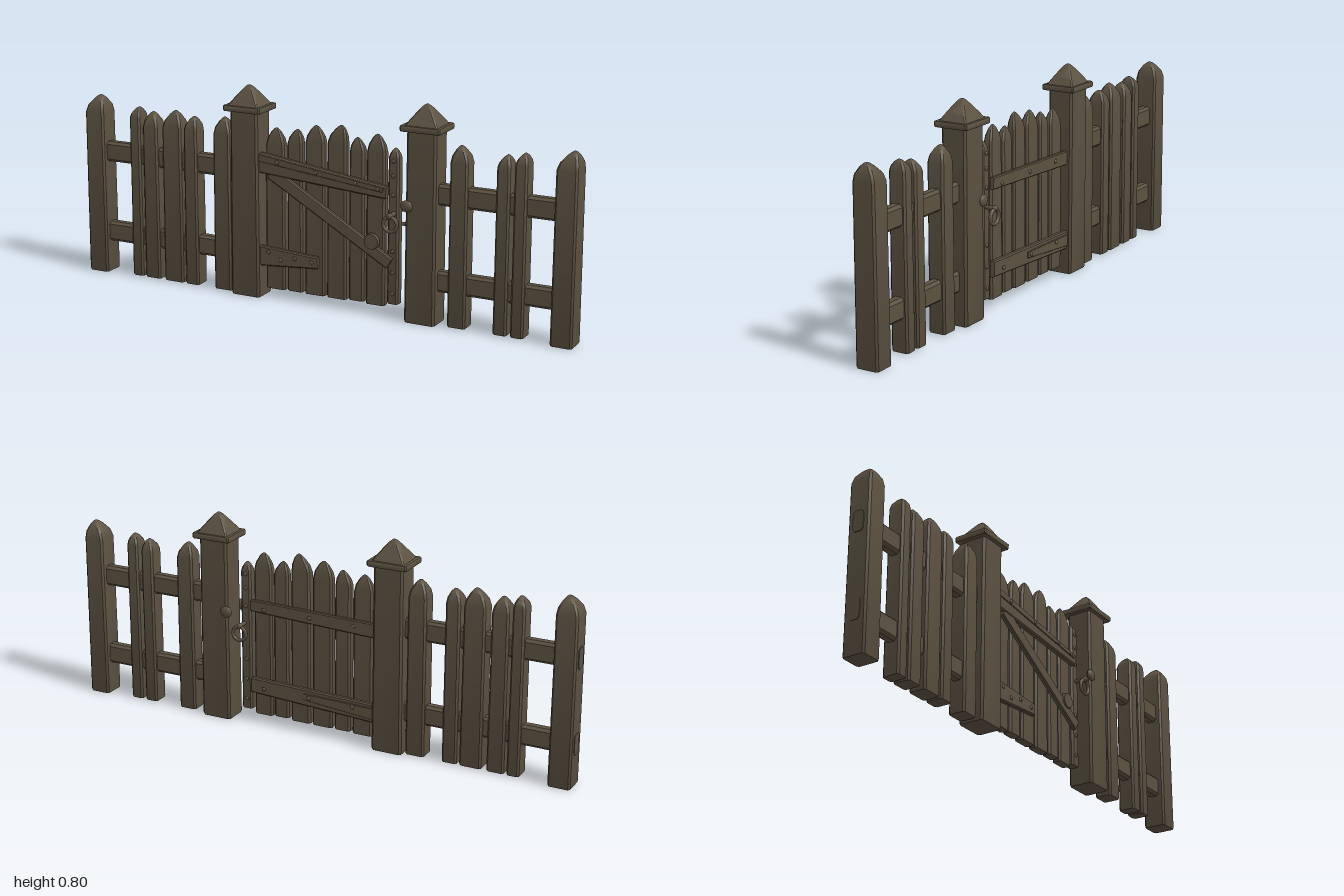
import * as THREE from 'three';
import { toCreasedNormals } from 'three/addons/utils/BufferGeometryUtils.js';

const wood = new THREE.MeshStandardMaterial({ color: 0x5b5141 });
wood.name = 'weathered brown';

// Loft chamfered rectangles along y; each ring is [y, halfWidth, halfDepth, shiftX]
function loft(rings, chamfer = 0.01) {
  const pos = [], idx = [];
  for (const [y, w, d, sx = 0] of rings) {
    const c = Math.min(chamfer, w * 0.45, d * 0.45);
    const pts = [[w, d - c], [w - c, d], [c - w, d], [-w, d - c], [-w, c - d], [c - w, -d], [w - c, -d], [w, c - d]];
    for (const [x, z] of pts) pos.push(x + sx, y, z);
  }
  const top = (rings.length - 1) * 8;
  for (let r = 0; r < top; r += 8) {
    for (let i = 0; i < 8; i++) {
      const a = r + i, b = r + (i + 1) % 8;
      idx.push(a, a + 8, b, b, a + 8, b + 8);
    }
  }
  for (let i = 1; i < 7; i++) idx.push(0, i, i + 1, top, top + i + 1, top + i);
  const g = new THREE.BufferGeometry();
  g.setAttribute('position', new THREE.Float32BufferAttribute(pos, 3));
  g.setIndex(idx);
  return toCreasedNormals(g, 0.6);
}

function add(parent, name, geometry, x = 0, y = 0, z = 0) {
  const m = new THREE.Mesh(geometry, wood);
  m.name = name;
  m.position.set(x, y, z);
  parent.add(m);
  return m;
}

// Upright board with a rounded point
function picket(parent, name, x0, x1, y0, h, depth, lean = 0) {
  const w = (x1 - x0) / 2, tip = Math.min(0.065, w * 1.7);
  add(parent, name, loft([
    [y0, w * 0.96, depth * 0.95], [y0 + 0.006, w, depth],
    [h - tip, w * 0.96, depth * 0.97],
    [h - tip * 0.6, w * 0.82, depth * 0.85, lean * 0.3],
    [h - tip * 0.22, w * 0.46, depth * 0.5, lean * 0.8],
    [h - tip * 0.05, w * 0.2, depth * 0.22, lean],
    [h, w * 0.06, depth * 0.06, lean],
  ], 0.007), (x0 + x1) / 2);
}

// Beam between two points in the x-y plane, with a width at each end
function beam(parent, name, x1, y1, x2, y2, w1, w2, z, depth, chamfer = 0.006) {
  const len = Math.hypot(x2 - x1, y2 - y1);
  const m = add(parent, name, loft([[0, w1 / 2, depth], [len, w2 / 2, depth]], chamfer), x1, y1, z);
  m.rotation.z = Math.atan2(y2 - y1, x2 - x1) - Math.PI / 2;
}

function rivet(parent, x, y, z, r = 0.008) {
  add(parent, 'rivet', new THREE.SphereGeometry(r, 10, 8), x, y, z).scale.z = 0.6;
}

export function createModel() {
  const model = new THREE.Group();
  model.name = 'picketFenceWithGate';

  // End posts
  picket(model, 'endPost', -1, -0.915, 0, 0.7, 0.045, 0.006);
  picket(model, 'endPost', 0.918, 1, 0, 0.695, 0.045, 0.012);

  // Fence pickets: left edge, right edge, height, tip shift
  const pickets = [
    [-0.805, -0.757, 0.67, 0.004], [-0.747, -0.68, 0.658, 0], [-0.66, -0.575, 0.672, 0.004],
    [-0.565, -0.507, 0.658, 0.004], [-0.436, -0.362, 0.67, 0], [0.525, 0.595, 0.668, -0.003],
    [0.7, 0.752, 0.655, 0.005], [0.766, 0.815, 0.668, 0.004],
  ];
  for (const [a, b, h, s] of pickets) picket(model, 'fencePicket', a, b, 0.004, h, 0.034, s);

  // Horizontal fence rails
  for (const y of [0.482, 0.162]) {
    beam(model, 'fenceRail', -1.002, y, -0.3, y, 0.078, 0.078, 0, 0.022, 0.01);
    beam(model, 'fenceRail', 0.42, y, 0.96, y, 0.078, 0.078, 0, 0.022, 0.01);
  }

  // Gate posts with plate and pyramid cap
  for (const x of [-0.293, 0.423]) {
    const post = new THREE.Group();
    post.name = 'gatePost';
    post.position.x = x;
    model.add(post);
    add(post, 'postShaft', loft([[0, 0.058, 0.047], [0.008, 0.06, 0.05], [0.71, 0.057, 0.05]], 0.008));
    add(post, 'capPlate', loft([[0.708, 0.075, 0.065], [0.712, 0.077, 0.067], [0.726, 0.077, 0.067], [0.729, 0.075, 0.065]], 0.005));
    add(post, 'capPyramid', loft([
      [0.727, 0.064, 0.056], [0.755, 0.044, 0.039], [0.78, 0.025, 0.023],
      [0.794, 0.014, 0.013], [0.801, 0.005, 0.005],
    ], 0.004));
  }

  const gate = new THREE.Group();
  gate.name = 'gate';
  model.add(gate);

  // Gate boards: left edge, right edge, foot, height, tip shift
  const boards = [
    [-0.22, -0.14, 0.035, 0.652, 0], [-0.13, -0.066, 0.037, 0.656, 0.006], [-0.056, 0.026, 0.036, 0.678, 0],
    [0.035, 0.115, 0.036, 0.69, 0.012], [0.125, 0.187, 0.04, 0.652, -0.004], [0.194, 0.27, 0.036, 0.673, 0],
  ];
  for (const [a, b, y, h, s] of boards) picket(gate, 'gateBoard', a, b, y, h, 0.018, s);

  // Edge bar of the gate with rivets
  picket(gate, 'gateEdgeBar', 0.281, 0.325, 0.05, 0.63, 0.02);
  for (const y of [0.09, 0.17, 0.25, 0.46, 0.53, 0.585])
    for (const s of [1, -1]) rivet(gate, 0.303, y, s * 0.02);

  // Front rail, diagonal brace and hinge straps
  beam(gate, 'frontRail', -0.235, 0.52, 0.282, 0.468, 0.078, 0.046, 0.024, 0.011);
  beam(gate, 'upperHingeStrap', -0.235, 0.54, 0.27, 0.478, 0.028, 0.018, 0.034, 0.004, 0.003);
  beam(gate, 'diagonalBrace', -0.19, 0.485, 0.295, 0.205, 0.05, 0.045, 0.023, 0.009);
  beam(gate, 'lowerHingeStrap', -0.235, 0.162, 0.005, 0.165, 0.078, 0.045, 0.023, 0.01);
  for (const [x, y] of [[-0.2, 0.18], [-0.15, 0.155], [-0.09, 0.17], [-0.02, 0.165]]) rivet(gate, x, y, 0.033);
  for (const x of [-0.16, 0, 0.16, 0.25]) rivet(gate, x, 0.51 - 0.122 * x, 0.038);
  const boss = add(gate, 'braceBoss', new THREE.CylinderGeometry(0.028, 0.031, 0.012, 16), 0.225, 0.28, 0.032);
  boss.rotation.x = Math.PI / 2;

  // Back rails, kept behind the boards' edges
  beam(gate, 'backRail', -0.235, 0.455, 0.275, 0.47, 0.055, 0.045, -0.024, 0.008);
  beam(gate, 'backRail', -0.235, 0.135, 0.275, 0.155, 0.072, 0.06, -0.024, 0.01);
  beam(gate, 'backStrap', -0.235, 0.135, 0.05, 0.15, 0.045, 0.025, -0.034, 0.004, 0.003);
  for (const x of [-0.15, 0.03, 0.22]) {
    rivet(gate, x, 0.46, -0.032);
    rivet(gate, x, 0.148, -0.038);
  }

  // Latch, ring handle and knob on both faces
  for (const s of [1, -1]) {
    const stem = add(gate, 'ringStem', new THREE.CylinderGeometry(0.007, 0.009, 0.042, 10), 0.308, 0.392, s * 0.037);
    stem.rotation.x = Math.PI / 2;
    add(gate, 'ringEye', new THREE.SphereGeometry(0.011, 12, 8), 0.308, 0.392, s * 0.057);
    add(gate, 'ringHandle', new THREE.TorusGeometry(0.027, 0.007, 8, 24), 0.31, 0.362, s * 0.057);
    const knob = add(model, 'postKnob', new THREE.SphereGeometry(0.024, 14, 10), 0.37, 0.435, s * 0.05);
    knob.scale.set(1, 0.9, 0.45);
  }
  return model;
}
